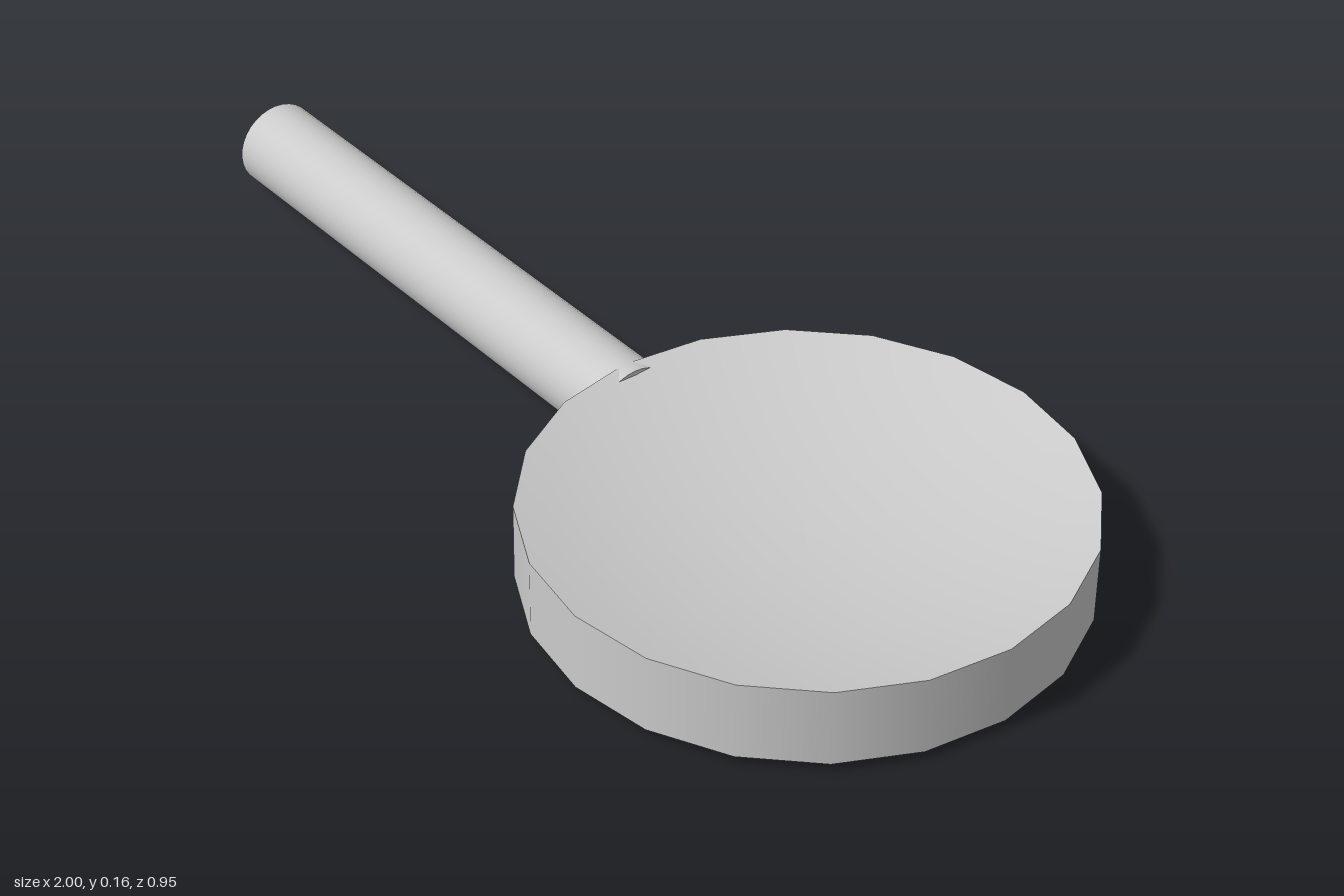
import * as THREE from 'three';

const SIDES = 20, RADIUS = 0.475, BASE = 0.016, RIM = 0.16, DEPTH = 0.07;

export function createModel() {
  const model = new THREE.Group();
  const material = new THREE.MeshStandardMaterial({ color: 0xcccccc });
  const add = (parent, name, geometry) => {
    const mesh = new THREE.Mesh(geometry, material);
    mesh.name = name;
    parent.add(mesh);
    return mesh;
  };

  // Round pan: wall, flat underside and a shallow hollow on top
  const pan = new THREE.Group();
  pan.name = 'pan';
  pan.position.x = 1 - RADIUS;
  model.add(pan);

  const wall = add(pan, 'panWall',
    new THREE.CylinderGeometry(RADIUS, RADIUS, RIM - BASE, SIDES, 1, true));
  wall.position.y = (RIM + BASE) / 2;

  const underside = add(pan, 'panUnderside', new THREE.CircleGeometry(RADIUS, SIDES));
  underside.rotation.x = Math.PI / 2;
  underside.position.y = BASE;

  // Hollow profile runs from the rim to the centre so that it faces up
  const profile = [];
  const rings = 10;
  for (let i = 0; i <= rings; i++) {
    const t = 1 - i / rings;
    profile.push(new THREE.Vector2(RADIUS * t, RIM - DEPTH * (1 - t * t)));
  }
  add(pan, 'panHollow', new THREE.LatheGeometry(profile, SIDES));

  // Round handle, its end set slightly into the pan
  const handleEnd = 0.078, handleRadius = 0.0805;
  const handle = add(model, 'handle',
    new THREE.CylinderGeometry(handleRadius, handleRadius, 1 + handleEnd, 32));
  handle.rotation.z = Math.PI / 2;
  handle.position.set((handleEnd - 1) / 2, handleRadius, 0);

  return model;
}
